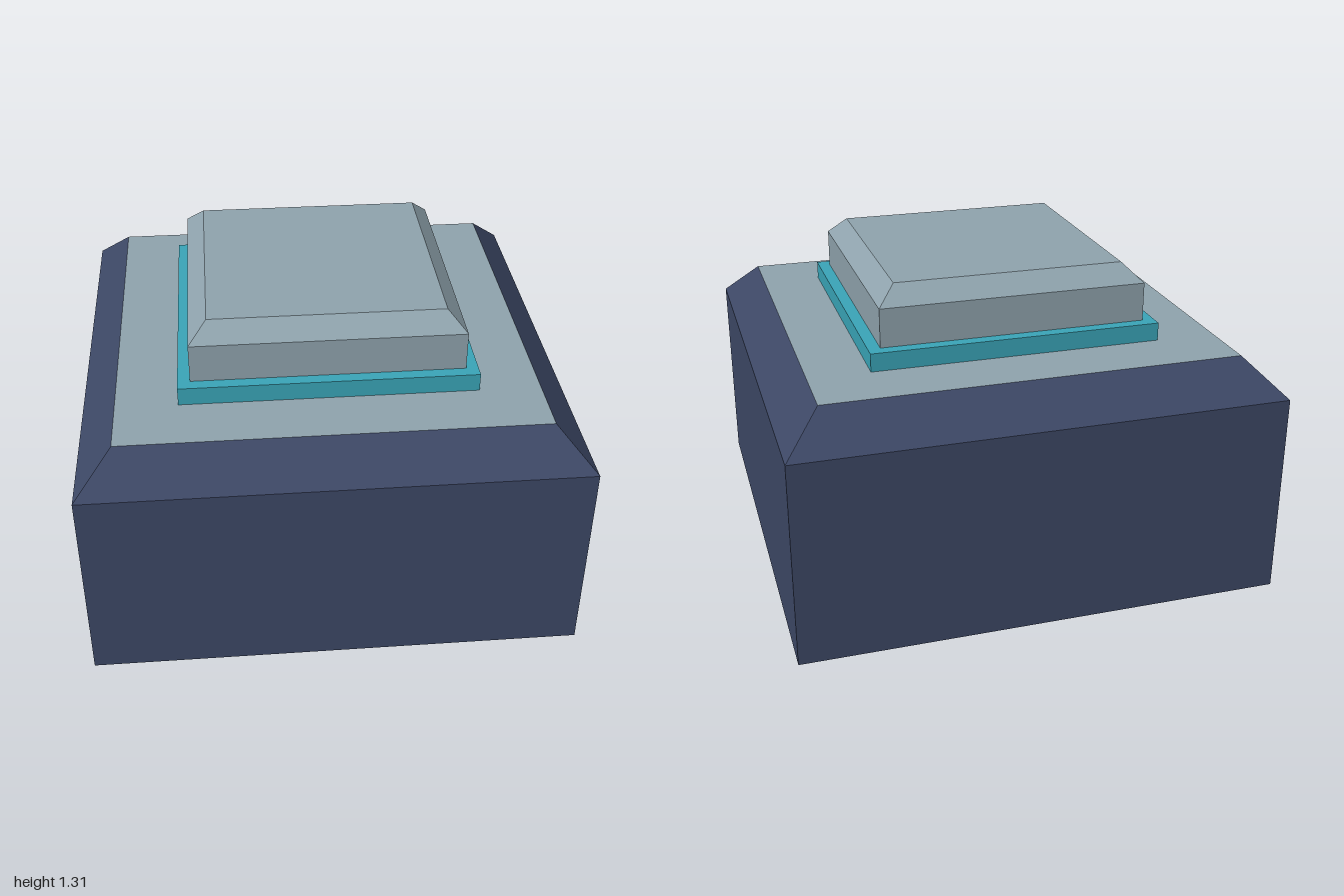
import * as THREE from 'three';

function makeMaterial(name, color) {
  const material = new THREE.MeshStandardMaterial({ color, flatShading: true, side: THREE.DoubleSide });
  material.name = name;
  return material;
}

export function createModel() {
  const navy = makeMaterial('navy', 0x3d4866);
  const grey = makeMaterial('blueGrey', 0x90a4ae);
  const teal = makeMaterial('teal', 0x3aa6b9);

  const model = new THREE.Group();
  model.name = 'steppedBlock';

  function add(name, geometry, material, y, parent) {
    const mesh = new THREE.Mesh(geometry, material);
    mesh.name = name;
    mesh.position.y = y;
    parent.add(mesh);
  }

  // Four walls rising from half-width a at y0 to half-width b at y1, open at both ends
  function walls(name, a, b, y0, y1, material, parent) {
    const geometry = new THREE.CylinderGeometry(b * Math.SQRT2, a * Math.SQRT2, y1 - y0, 4, 1, true, Math.PI / 4)
      .toNonIndexed();
    geometry.computeVertexNormals();
    add(name, geometry, material, (y0 + y1) / 2, parent);
  }

  // Flat square facing up
  function plate(name, half, y, material, parent) {
    add(name, new THREE.PlaneGeometry(half * 2, half * 2).rotateX(-Math.PI / 2), material, y, parent);
  }

  function part(name) {
    const group = new THREE.Group();
    group.name = name;
    model.add(group);
    return group;
  }

  // Hollow base, open underneath, with a bevelled rim
  const base = part('base');
  walls('baseWalls', 1, 1, 0, 0.85, navy, base);
  walls('baseBevel', 1, 0.85, 0.85, 1, navy, base);
  plate('baseTop', 0.85, 1, grey, base);

  // Coloured collar on the base
  const collar = part('collar');
  walls('collarWalls', 0.6, 0.6, 1, 1.075, teal, collar);
  plate('collarTop', 0.6, 1.075, teal, collar);

  // Bevelled cap
  const cap = part('cap');
  walls('capWalls', 0.55, 0.55, 1.075, 1.235, grey, cap);
  walls('capBevel', 0.55, 0.475, 1.235, 1.31, grey, cap);
  plate('capTop', 0.475, 1.31, grey, cap);

  return model;
}
